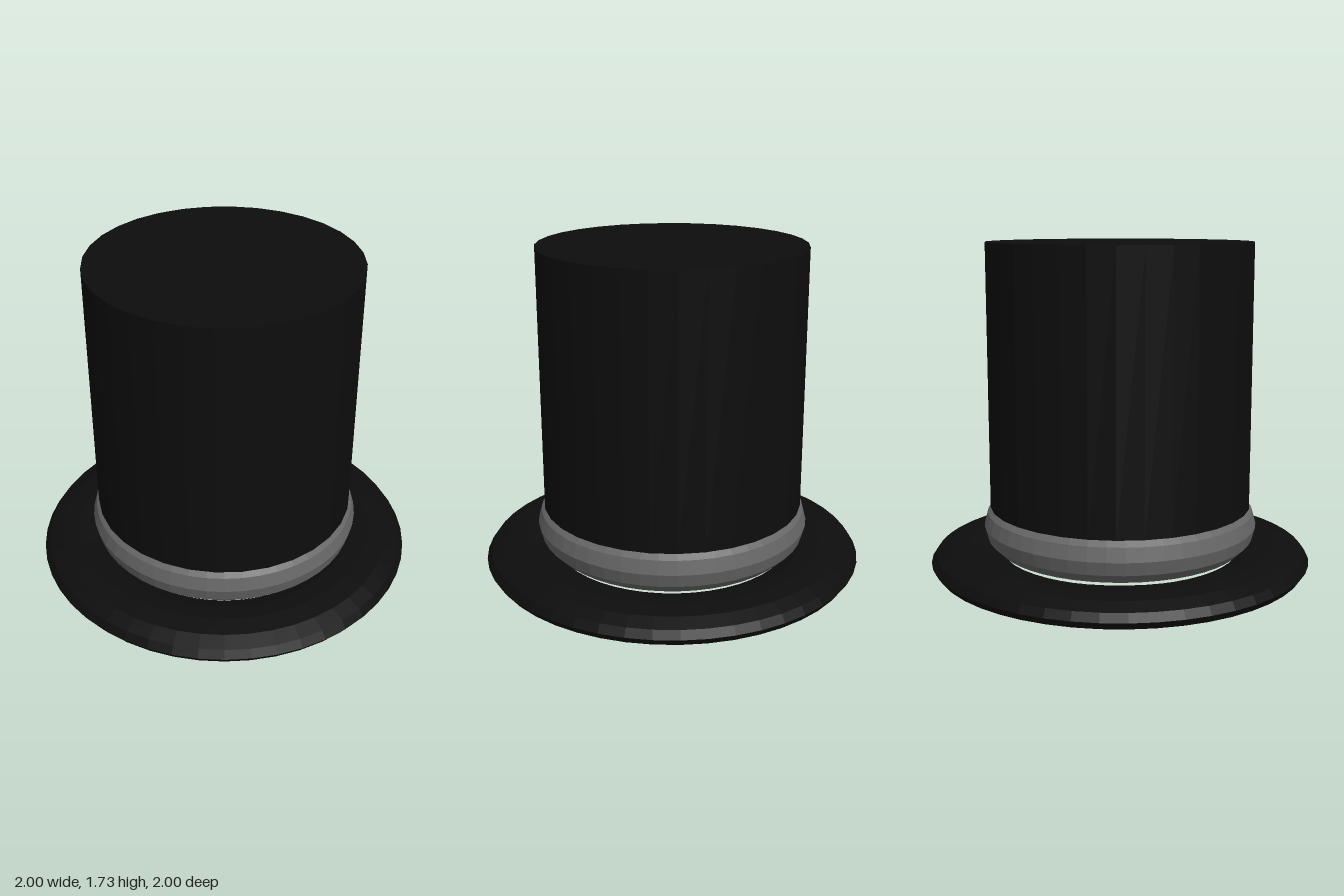
import * as THREE from 'three';

const felt = new THREE.MeshStandardMaterial({ color: 0x0d0d0d, flatShading: true });
const ribbon = new THREE.MeshStandardMaterial({ color: 0x666666, flatShading: true });

// Horizontal ring, optionally flattened in height
function ring(name, radius, tube, halfHeight, y, material) {
  const geometry = new THREE.TorusGeometry(radius, tube, 12, 48);
  geometry.rotateX(Math.PI / 2);
  geometry.scale(1, halfHeight / tube, 1);
  const mesh = new THREE.Mesh(geometry, material);
  mesh.name = name;
  mesh.position.y = y;
  return mesh;
}

export function createModel() {
  const hat = new THREE.Group();
  hat.name = 'topHat';

  // Wide flattened brim and the round band resting on it
  hat.add(ring('brim', 0.8, 0.2, 0.078, 0.078, felt));
  hat.add(ring('band', 0.58, 0.14, 0.14, 0.262, ribbon));

  // Closed cylindrical crown
  const bottom = 0.361;
  const top = 1.734;
  const crown = new THREE.Mesh(
    new THREE.CylinderGeometry(0.687, 0.687, top - bottom, 32), felt);
  crown.name = 'crown';
  crown.position.y = (top + bottom) / 2;
  hat.add(crown);

  return hat;
}
